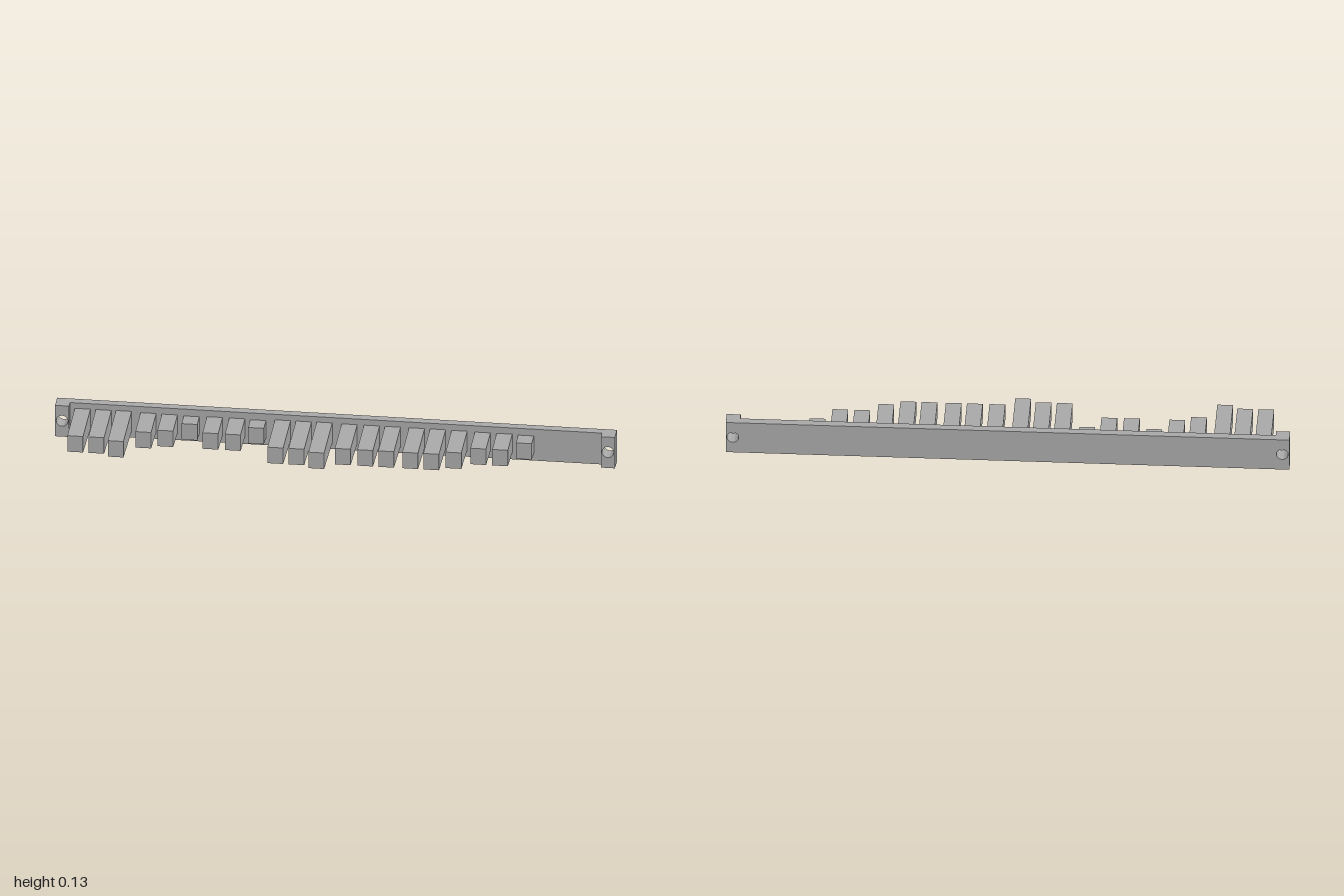
import * as THREE from 'three';
import { toCreasedNormals } from 'three/addons/utils/BufferGeometryUtils.js';

const HEIGHT = 0.126, MID = 0.064, DRAFT = 0.035;
const BACK = -0.128, PLATE_FRONT = -0.098, PAD_FRONT = -0.071;
const HOLE_X = 0.975, HOLE_R = 0.021;

// Front z of each tooth, by step number, and the centre of each tooth in x
const tipZ = (step) => -0.04 + 0.021 * step;
const teeth = [
  [-0.905, 7], [-0.83, 7], [-0.758, 8], [-0.67, 4], [-0.594, 3], [-0.516, 0], [-0.433, 3],
  [-0.353, 3], [-0.278, 0], [-0.19, 7], [-0.115, 7], [-0.041, 8], [0.048, 6], [0.128, 6],
  [0.203, 6], [0.289, 6], [0.364, 6], [0.441, 5], [0.524, 3], [0.602, 3], [0.679, 0],
];

// Upright slab with round holes; top and bottom edges close in towards the front
function slab(x0, x1, z0, z1, holes) {
  const shape = new THREE.Shape([[x0, 0], [x1, 0], [x1, HEIGHT], [x0, HEIGHT]].map((p) => new THREE.Vector2(...p)));
  for (const x of holes) {
    shape.holes.push(new THREE.Path().absarc(x, MID, HOLE_R, 0, Math.PI * 2, true));
  }
  const geo = new THREE.ExtrudeGeometry(shape, { depth: z1 - z0, bevelEnabled: false, curveSegments: 16 });
  geo.translate(0, 0, z0);
  const pos = geo.attributes.position;
  for (let i = 0; i < pos.count; i++) {
    const y = pos.getY(i), inset = DRAFT * (pos.getZ(i) - BACK);
    if (y < 0.001) pos.setY(i, inset);
    else if (y > HEIGHT - 0.001) pos.setY(i, HEIGHT - inset);
  }
  return toCreasedNormals(geo, 0.6);
}

// Tooth with a fixed tip height that grows taller towards the plate
function tooth(front) {
  const root = PLATE_FRONT - 0.005, lo = 0.033, hi = 0.096;
  const grow = DRAFT * (front - root);
  const geo = new THREE.BoxGeometry(0.056, 1, front - root);
  const pos = geo.attributes.position;
  for (let i = 0; i < pos.count; i++) {
    const g = pos.getZ(i) < 0 ? grow : 0;
    pos.setY(i, pos.getY(i) > 0 ? hi + g : lo - g);
  }
  geo.translate(0, 0, (front + root) / 2);
  geo.computeVertexNormals();
  return geo;
}

export function createModel() {
  const model = new THREE.Group();
  const grey = new THREE.MeshStandardMaterial({ color: 0xa8a8a8 });
  grey.name = 'grey';
  const add = (name, geo, x = 0) => {
    const mesh = new THREE.Mesh(geo, grey);
    mesh.name = name;
    mesh.position.x = x;
    model.add(mesh);
  };

  // Back plate with a screw hole at each end
  add('backPlate', slab(-1, 1, BACK, PLATE_FRONT, [-HOLE_X, HOLE_X]));

  // Raised mounting pads around the holes
  add('rightPad', slab(-1, -0.95, PLATE_FRONT, PAD_FRONT, [-HOLE_X]));
  add('leftPad', slab(0.95, 1, PLATE_FRONT, PAD_FRONT, [HOLE_X]));

  // Row of teeth of different lengths
  teeth.forEach(([x, step], i) => add(`tooth${i + 1}`, tooth(tipZ(step)), x));

  return model;
}
